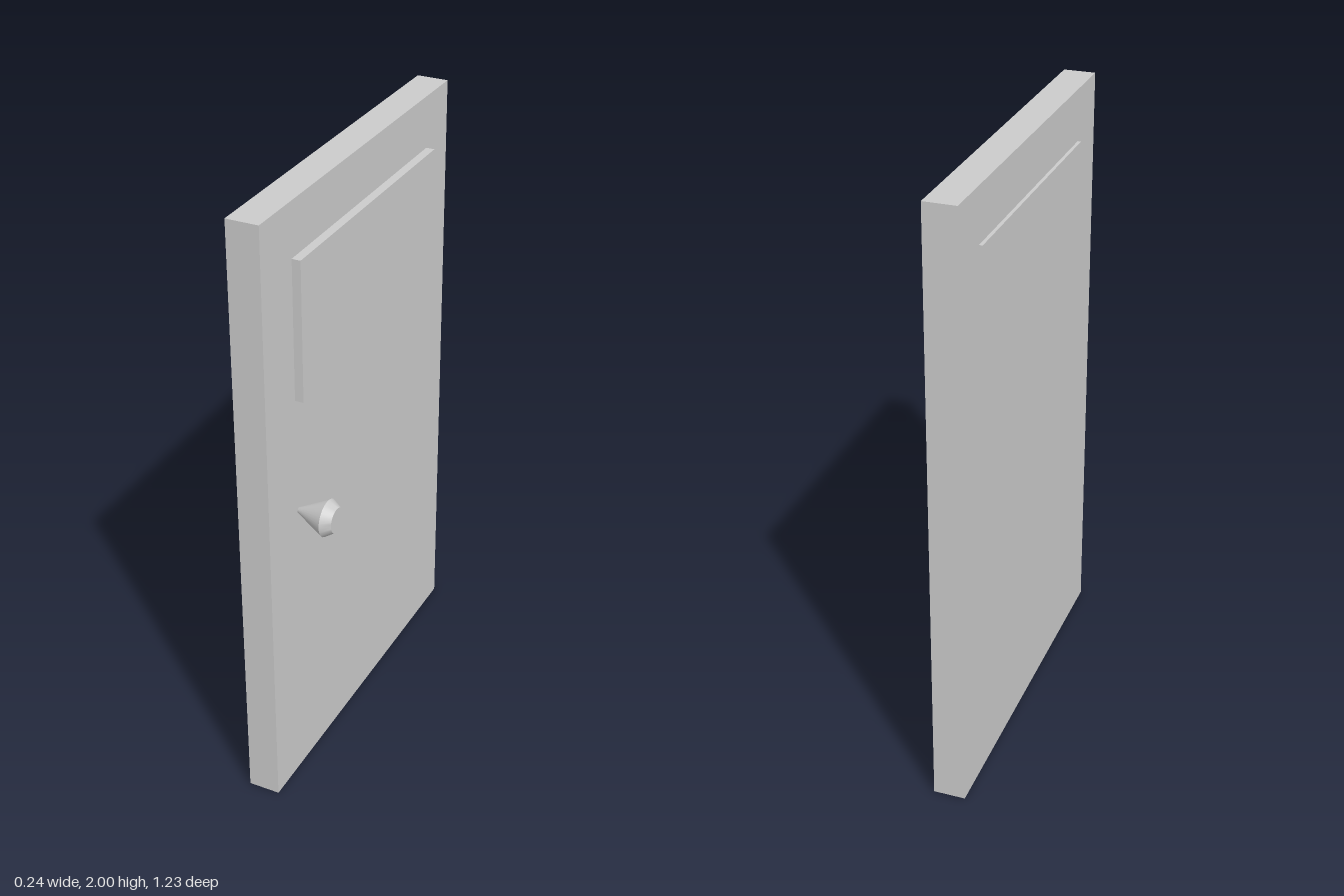
import * as THREE from 'three';
import { toCreasedNormals } from 'three/addons/utils/BufferGeometryUtils.js';

export function createModel() {
  const group = new THREE.Group();
  const material = new THREE.MeshStandardMaterial({ color: 0xcccccc });

  const add = (name, geometry, x, y, z) => {
    const mesh = new THREE.Mesh(geometry, material);
    mesh.name = name;
    mesh.position.set(x, y, z);
    group.add(mesh);
  };

  // Door slab, standing in the yz plane
  add('doorSlab', new THREE.BoxGeometry(0.104, 2, 1.234), -0.059, 1, 0);

  // Window panel running through the slab, proud of both faces
  add('windowPanel', new THREE.BoxGeometry(0.143, 0.453, 0.902), -0.0505, 1.602, -0.009);

  // Knob: flaring cone with a bevelled flat end, turned to point along +x
  const profile = [[0, 0], [0.008, 0], [0.06, 0.1], [0.04, 0.131], [0, 0.131]]
    .map(([r, h]) => new THREE.Vector2(r, h));
  const knob = toCreasedNormals(new THREE.LatheGeometry(profile, 32), 0.5);
  knob.rotateZ(-Math.PI / 2);
  add('doorKnob', knob, -0.01, 0.99, 0.433);

  return group;
}
